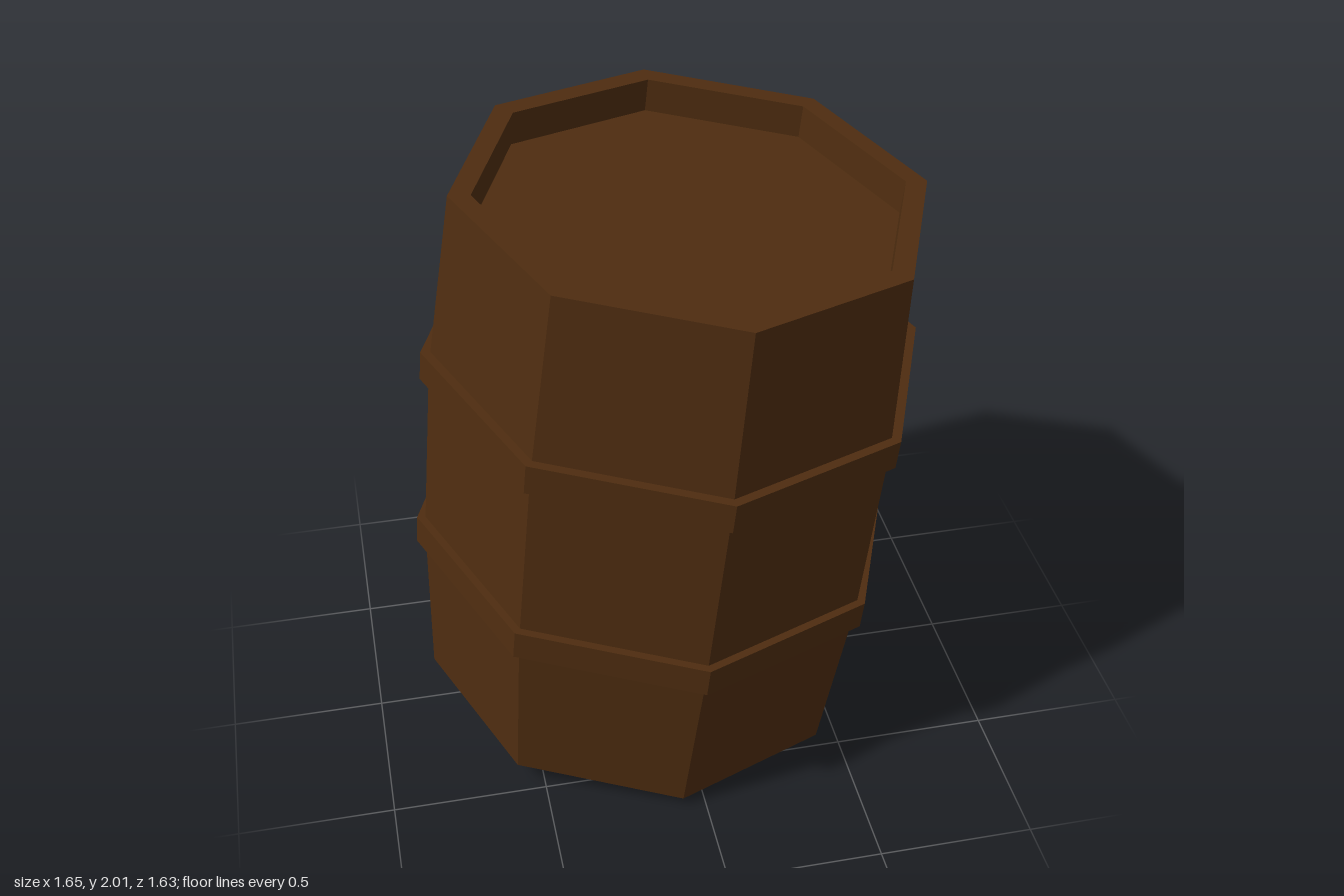
import * as THREE from 'three';

const SIDES = 8;

// Faceted version of a geometry: every face gets its own normal
function faceted(geometry) {
  const flat = geometry.toNonIndexed();
  flat.computeVertexNormals();
  return flat;
}

// Eight-sided turned part from [radius, height] pairs
function turned(profile) {
  return faceted(new THREE.LatheGeometry(profile.map(([r, y]) => new THREE.Vector2(r, y)), SIDES));
}

export function createModel() {
  const wood = new THREE.MeshStandardMaterial({ color: 0x4f2d10 });
  wood.name = 'dark wood';

  const barrel = new THREE.Group();
  barrel.name = 'barrel';
  const add = (name, geometry) => {
    const mesh = new THREE.Mesh(geometry, wood);
    mesh.name = name;
    barrel.add(mesh);
    return mesh;
  };

  const half = 0.935, endR = 0.725, bellyR = 0.766, lidR = 0.657, lidY = half - 0.11;

  // Bulging staves, rim and inner wall down to the lid
  add('staves', turned([
    [endR, -half], [bellyR, -0.33], [bellyR, 0.33], [endR, half], [lidR, half], [lidR, lidY],
  ]));

  // Sunken lid and flat base; the discs are turned so corners meet the staves
  const lid = add('lid', new THREE.CircleGeometry(lidR, SIDES));
  lid.rotation.x = -Math.PI / 2;
  lid.position.y = lidY;
  const base = add('base', new THREE.CircleGeometry(endR, SIDES));
  base.rotation.x = Math.PI / 2;
  base.position.y = -half;

  // Two raised hoops
  for (const [name, y] of [['lowerHoop', -0.325], ['upperHoop', 0.337]]) {
    const hoop = add(name, turned([
      [0.74, -0.05], [0.793, -0.05], [0.793, 0.05], [0.74, 0.05],
    ]));
    hoop.position.y = y;
  }

  // The barrel leans slightly to its left and forward
  const up = new THREE.Vector3(0, 1, 0);
  const axis = new THREE.Vector3(0.0865, 1, 0.056).normalize();
  barrel.quaternion.setFromUnitVectors(up, axis)
    .multiply(new THREE.Quaternion().setFromAxisAngle(up, 0.012));
  barrel.position.y = 1;

  const model = new THREE.Group();
  model.name = 'leaningBarrel';
  model.add(barrel);
  return model;
}
